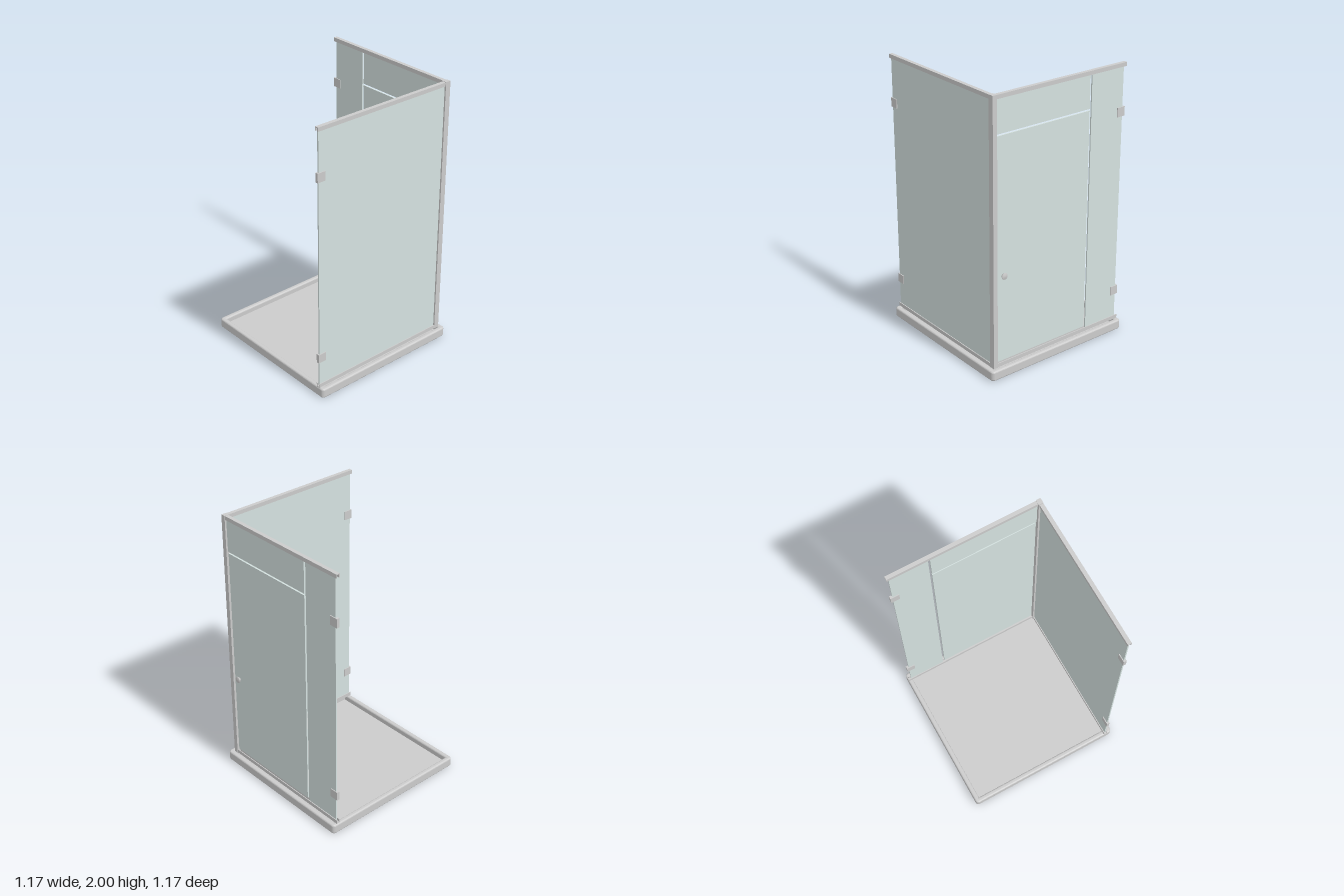
import * as THREE from 'three';

const metal = new THREE.MeshStandardMaterial({ color: 0xcccccc });
const glass = new THREE.MeshStandardMaterial({ color: 0xd5e2e0 });

const BACK = -0.535; // centre plane of the door wall (z)
const SIDE = 0.534; // centre plane of the side wall (x)

function add(parent, name, geometry, x, y, z, material = metal) {
  const mesh = new THREE.Mesh(geometry, material);
  mesh.name = name;
  mesh.position.set(x, y, z);
  parent.add(mesh);
  return mesh;
}

// Box given by its lower and upper limits
function block(parent, name, [x0, x1], [y0, y1], [z0, z1], material) {
  const geometry = new THREE.BoxGeometry(x1 - x0, y1 - y0, z1 - z0);
  return add(parent, name, geometry, (x0 + x1) / 2, (y0 + y1) / 2, (z0 + z1) / 2, material);
}

function roundedSquare(Type, h, r) {
  const s = new Type();
  s.moveTo(-h + r, -h);
  for (const [x, y, a] of [[1, -1, -0.5], [1, 1, 0], [-1, 1, 0.5], [-1, -1, 1]]) {
    s.absarc(x * (h - r), y * (h - r), r, a * Math.PI, (a + 0.5) * Math.PI, false);
  }
  return s;
}

// U-shaped rail profile running along z, open upwards
function channel(length) {
  const w = 0.014, h = 0.014, t = 0.006;
  const s = new THREE.Shape([
    [-w, -h], [w, -h], [w, h], [w - t, h], [w - t, -h + t], [-w + t, -h + t], [-w + t, h], [-w, h],
  ].map(([x, y]) => new THREE.Vector2(x, y)));
  return new THREE.ExtrudeGeometry(s, { depth: length, bevelEnabled: false }).translate(0, 0, -length / 2);
}

function createTray() {
  const tray = new THREE.Group();
  tray.name = 'tray';
  const b = 0.012;
  const rimShape = roundedSquare(THREE.Shape, 0.586 - b, 0.012);
  rimShape.holes.push(roundedSquare(THREE.Path, 0.55 + b, 0.004));
  const rim = new THREE.ExtrudeGeometry(rimShape, {
    depth: 0.072 - 2 * b, bevelSize: b, bevelThickness: b, bevelSegments: 4, curveSegments: 6,
  });
  rim.rotateX(-Math.PI / 2);
  add(tray, 'trayRim', rim, 0, b, 0);
  block(tray, 'trayFloor', [-0.565, 0.565], [0, 0.03], [-0.565, 0.565]);
  return tray;
}

function createFrame() {
  const frame = new THREE.Group();
  frame.name = 'frame';
  block(frame, 'cornerPost', [0.516, 0.55], [0.072, 2], [-0.553, -0.512]);
  // Bottom rails open upwards, top rails open downwards
  for (const [label, y, roll] of [['bottom', 0.086, 0], ['top', 1.984, Math.PI]]) {
    const back = add(frame, label + 'BackRail', channel(1.096), -0.029, y, BACK);
    back.rotation.set(roll, Math.PI / 2, 0);
    const side = add(frame, label + 'SideRail', channel(1.096), SIDE, y, 0.037);
    side.rotation.z = roll;
  }
  return frame;
}

function createGlass() {
  const panels = new THREE.Group();
  panels.name = 'glassPanels';
  const t = 0.005;
  const z = [BACK - t, BACK + t];
  block(panels, 'fixedPanel', [-0.56, -0.28], [0.085, 1.985], z, glass);
  block(panels, 'transomPanel', [-0.265, 0.518], [1.735, 1.985], z, glass);
  block(panels, 'door', [-0.265, 0.511], [0.108, 1.723], z, glass);
  block(panels, 'sidePanel', [SIDE - t, SIDE + t], [0.085, 1.985], [-0.514, 0.575], glass);
  return panels;
}

// Square wall clips at the free edges of both walls
function createClips() {
  const clips = new THREE.Group();
  clips.name = 'wallClips';
  const t = 0.011;
  for (const y of [0.305, 1.655]) {
    const range = [y - 0.033, y + 0.033];
    block(clips, 'backClip', [-0.577, -0.513], range, [BACK - t, BACK + t]);
    block(clips, 'sideClip', [SIDE - t, SIDE + t], range, [0.522, 0.586]);
  }
  return clips;
}

// Round door knob on the outer face
function createKnob() {
  const profile = [[0, 0], [0.013, 0], [0.013, 0.009], [0.021, 0.011], [0.024, 0.015], [0.022, 0.02], [0, 0.022]];
  const geometry = new THREE.LatheGeometry(profile.map(([r, h]) => new THREE.Vector2(r, h)), 28);
  geometry.rotateX(-Math.PI / 2);
  const knob = new THREE.Group();
  add(knob, 'doorKnob', geometry, 0.46, 0.745, BACK - 0.005);
  knob.name = 'knob';
  return knob;
}

export function createModel() {
  const model = new THREE.Group();
  model.name = 'showerEnclosure';
  model.add(createTray(), createFrame(), createGlass(), createClips(), createKnob());
  return model;
}
